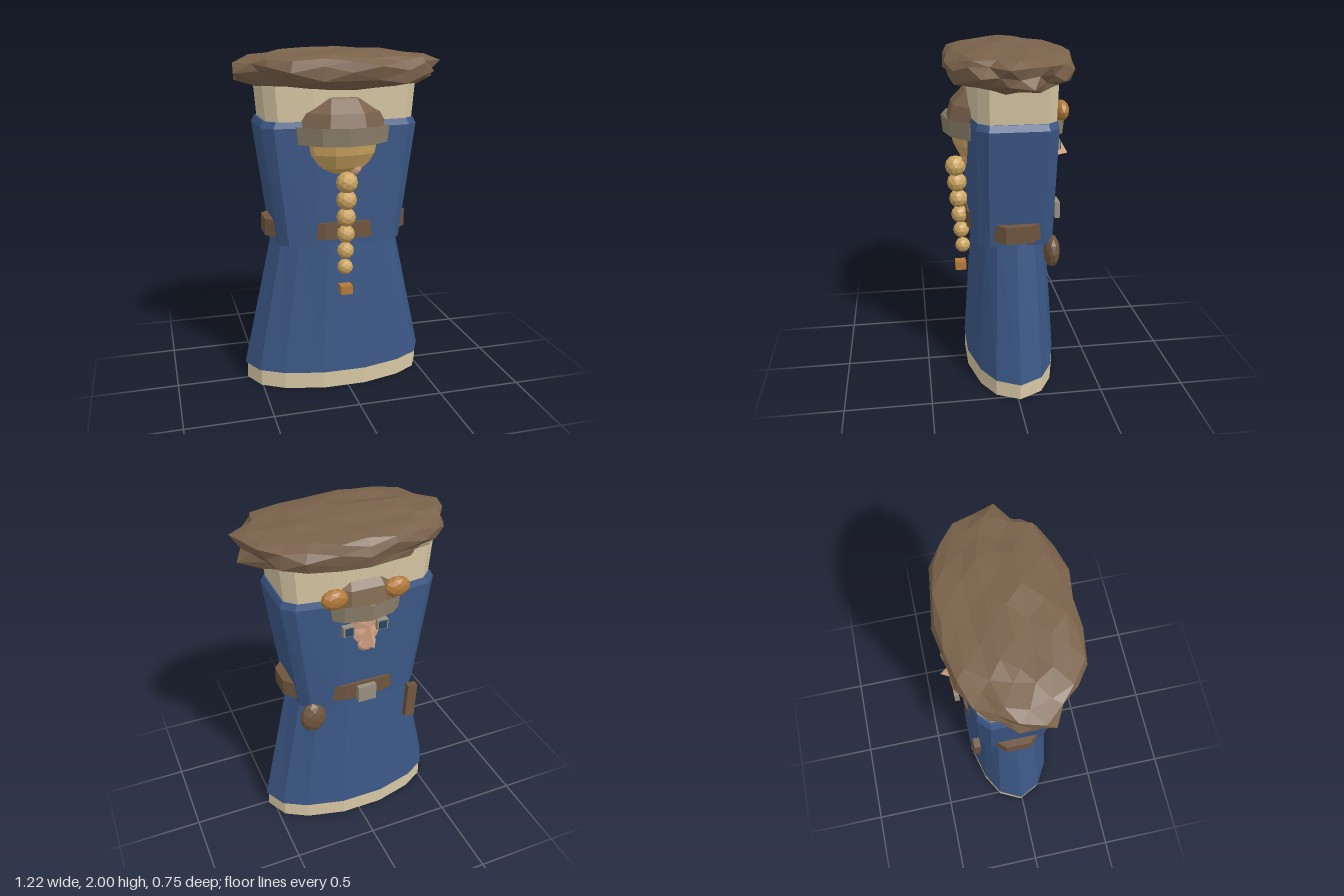
import * as THREE from 'three';

const mat = (name, color, side = THREE.FrontSide) => {
  const m = new THREE.MeshStandardMaterial({ color, side });
  m.name = name;
  return m;
};

// Quarter outlines (unit x, z), from the side towards the front
const BOXY = [[1, 0.64], [0.86, 0.88], [0.4, 1]];
const OVAL = [[1, 0], [0.88, 0.5], [0.64, 0.79], [0.23, 1]];

// Mirrors a quarter outline into a full loop
function fullOutline(quarter) {
  const back = [...quarter].reverse();
  const loop = [...quarter, ...back.map(([x, z]) => [-x, z]),
    ...quarter.map(([x, z]) => [-x, -z]), ...back.map(([x, z]) => [x, -z])];
  return loop.filter(([x, z], i) => {
    const [px, pz] = loop[(i + loop.length - 1) % loop.length];
    return Math.hypot(px - x, pz - z) > 1e-6;
  });
}

// Joins scaled copies of an outline; rings are [y, radiusX, radiusZ]
function loft(quarter, rings) {
  const outline = fullOutline(quarter), n = outline.length, pos = [], index = [];
  for (const [y, rx, rz] of rings) for (const [x, z] of outline) pos.push(x * rx, y, z * rz);
  for (let r = 0; r < rings.length - 1; r++) {
    for (let i = 0; i < n; i++) {
      const a = r * n + i, b = r * n + (i + 1) % n;
      index.push(a, a + n, b + n, a, b + n, b);
    }
  }
  const g = new THREE.BufferGeometry();
  g.setAttribute('position', new THREE.Float32BufferAttribute(pos, 3));
  g.setIndex(index);
  return g;
}

// Shaggy squashed ball, fitted exactly to a bounding size
function furGeometry(w, h, d) {
  const g = new THREE.IcosahedronGeometry(1, 3), p = g.attributes.position;
  const hash = (x, y, z, k) => {
    const s = Math.sin(Math.round(x * 50) * 12.99 + Math.round(y * 50) * 78.23 + Math.round(z * 50) * 37.72 + k) * 4375.85;
    return s - Math.floor(s) - 0.5;
  };
  for (let i = 0; i < p.count; i++) {
    const x = p.getX(i), y = p.getY(i), z = p.getZ(i);
    const s = 1 + 0.16 * hash(x, y, z, 1);
    p.setXYZ(i, x * s, Math.sign(y) * Math.abs(y) ** 0.65 * (0.5 + s / 2) + 0.15 * hash(x, y, z, 2), z * s);
  }
  g.computeBoundingBox();
  const size = g.boundingBox.getSize(new THREE.Vector3());
  const c = g.boundingBox.getCenter(new THREE.Vector3());
  return g.translate(-c.x, -c.y, -c.z).scale(w / size.x, h / size.y, d / size.z);
}

export function createModel() {
  const group = new THREE.Group();
  const blue = mat('blue cloth', 0x3b5785, THREE.DoubleSide);
  const cream = mat('cream cloth', 0xd4c4a1, THREE.DoubleSide);
  const fur = mat('brown fur', 0x7a624a);
  const hair = mat('golden hair', 0xcba460);
  const trim = mat('grey brown trim', 0x8d806b, THREE.DoubleSide);
  const amber = mat('amber', 0xb27a38);
  const leather = mat('leather', 0x6f553e);
  const skin = mat('skin', 0xd6a585);
  const steel = mat('pale steel', 0x979080);
  const iris = mat('dark blue', 0x2c4560);

  // Adds a faceted part
  const add = (name, geometry, material, x = 0, y = 0, z = 0) => {
    const g = geometry.index ? geometry.toNonIndexed() : geometry;
    g.computeVertexNormals();
    const m = new THREE.Mesh(g, material);
    m.name = name;
    m.position.set(x, y, z);
    group.add(m);
    return m;
  };
  const ball = (r, detail = 1) => new THREE.IcosahedronGeometry(r, detail);
  const box = (w, h, d) => new THREE.BoxGeometry(w, h, d);

  // Robe
  add('underskirt', loft(OVAL, [[0, 0.553, 0.267], [0.11, 0.548, 0.262], [0.95, 0.36, 0.2]]), cream, -0.022, 0, -0.012);
  add('skirt', loft(OVAL, [[0.1, 0.563, 0.267], [0.96, 0.375, 0.212]]), blue, -0.022, 0, -0.012);
  add('torso', loft(BOXY, [[0.89, 0.365, 0.243], [1.57, 0.455, 0.256], [1.605, 0.437, 0.245], [1.605, 0.3, 0.16]]), blue, -0.025, 0, -0.014);
  add('collar', loft(BOXY, [[1.58, 0.425, 0.243], [1.8, 0.443, 0.247]]), cream, -0.022, 0, -0.014);
  add('furMantle', furGeometry(1.22, 0.255, 0.73), fur, -0.005, 1.8725, -0.005);

  // Belt, buckle and hanging items
  const belt = new THREE.CylinderGeometry(1, 1, 0.1, 12).rotateY(Math.PI / 12).scale(0.445, 1, 0.27);
  add('belt', belt, leather, -0.022, 0.978, -0.016);
  add('buckle', box(0.11, 0.1, 0.03), steel, -0.02, 0.98, -0.312);
  add('pouch', ball(1).scale(0.08, 0.1, 0.047), leather, 0.28, 0.825, -0.228);
  add('sheath', box(0.06, 0.22, 0.04), leather, -0.34, 0.785, -0.255).rotation.set(0.05, 0, 0.08);

  // Head and hair
  add('hair', new THREE.SphereGeometry(0.285, 14, 10), hair, -0.03, 1.51, 0.045);
  add('nape', ball(0.05), skin, 0.035, 1.34, 0.215);
  add('face', ball(0.235, 2), skin, -0.03, 1.46, -0.058);
  add('jaw', ball(1, 2).scale(0.125, 0.13, 0.085), skin, -0.03, 1.365, -0.2);
  add('chin', ball(1).scale(0.052, 0.05, 0.03), skin, -0.03, 1.287, -0.26);
  const nose = new THREE.ConeGeometry(0.05, 0.13, 3, 1, false, Math.PI);
  nose.applyMatrix4(new THREE.Matrix4().makeShear(0, 0, 0, 0.2, 0, 0));
  add('nose', nose, skin, -0.03, 1.387, -0.315);
  for (const side of [-1, 1]) {
    const x = -0.015 + side * 0.1;
    add('eye', box(0.065, 0.06, 0.04), steel, x, 1.41, -0.28);
    add('iris', box(0.045, 0.045, 0.008), iris, x, 1.41, -0.303);
  }

  // Cap with band and goggles
  const dome = new THREE.SphereGeometry(1, 10, 4, 0, Math.PI * 2, 0, Math.PI / 2).scale(0.335, 0.24, 0.345);
  add('cap', dome, fur, -0.025, 1.56, 0.008);
  const band = new THREE.CylinderGeometry(0.365, 0.355, 0.1, 14, 1, true).scale(0.93, 1, 1);
  add('capBand', band, trim, -0.027, 1.53, 0.01);
  for (const side of [-1, 1]) {
    add('goggle', ball(1).scale(0.078, 0.06, 0.042), amber, -0.015 + side * 0.18, 1.625, -0.29);
  }

  // Braid: shrinking balls ending in a tie
  for (let i = 0; i < 6; i++) {
    add('braidBead', ball(0.063 - i * 0.0033), hair, -0.025, 1.27 - i * 0.101, 0.297 - i * 0.0065);
  }
  add('braidTie', box(0.07, 0.05, 0.065), amber, -0.025, 0.635, 0.28);

  return group;
}
